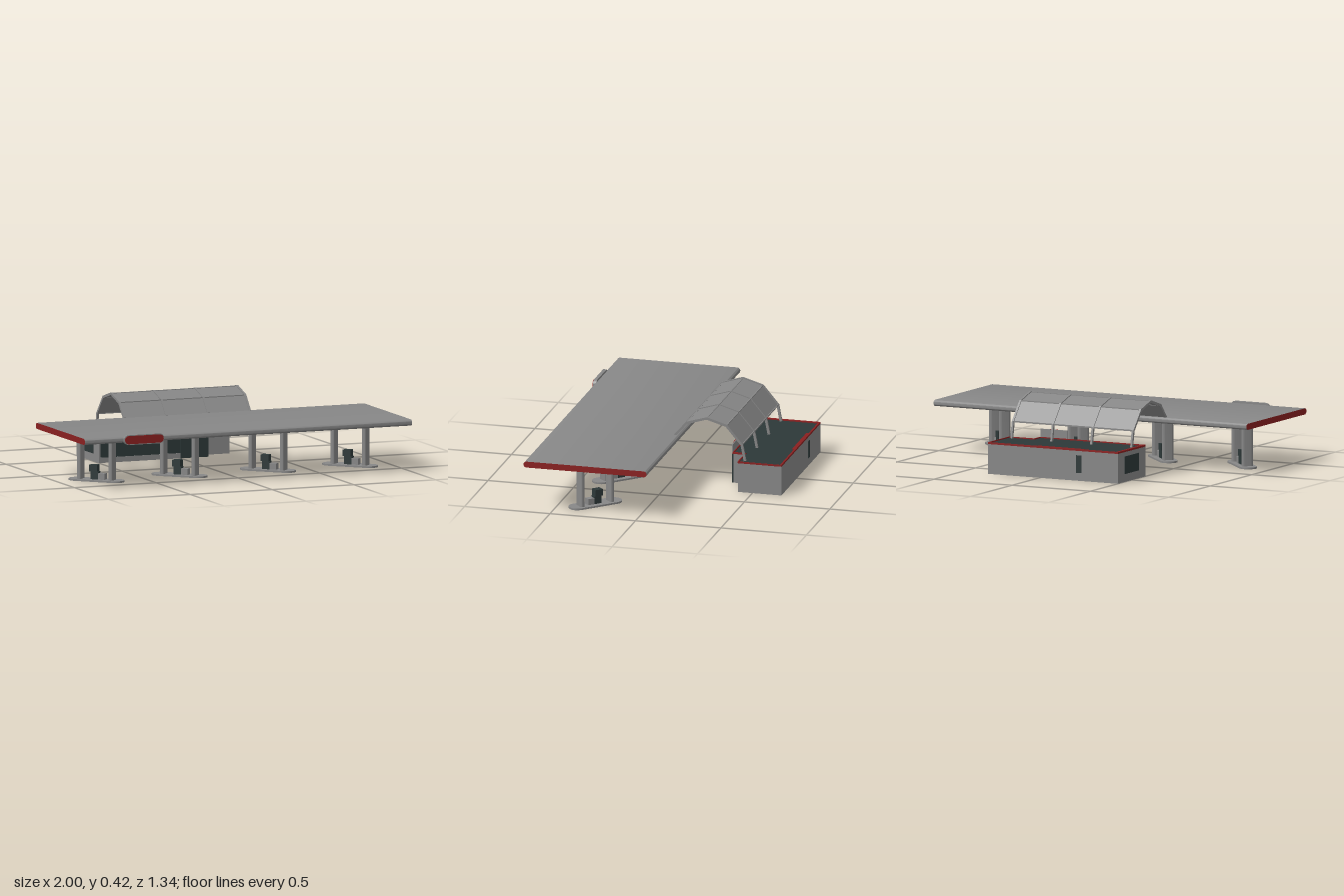
import * as THREE from 'three';
import { toCreasedNormals } from 'three/addons/utils/BufferGeometryUtils.js';

const mat = (name, color) => new THREE.MeshStandardMaterial({ name, color });

export function createModel() {
  const root = new THREE.Group();
  root.name = 'fuelStation';
  const grey = mat('concreteGrey', 0x878787);
  const red = mat('trimRed', 0x8a2020);
  const dark = mat('darkGlass', 0x2d3838);

  const add = (parent, name, geometry, material) => {
    const mesh = new THREE.Mesh(geometry, material);
    mesh.name = name;
    parent.add(mesh);
    return mesh;
  };
  // Box given by its limits on each axis
  const box = (parent, name, material, x0, x1, y0, y1, z0, z1) => {
    const m = add(parent, name, new THREE.BoxGeometry(x1 - x0, y1 - y0, z1 - z0), material);
    m.position.set((x0 + x1) / 2, (y0 + y1) / 2, (z0 + z1) / 2);
    return m;
  };
  // Rounded bar: stadium outline in x/y, extruded along z and centred
  const stadium = (length, width, depth, segments) => {
    const r = width / 2, a = length / 2 - r;
    const s = new THREE.Shape();
    s.moveTo(-a, -r);
    s.lineTo(a, -r);
    s.absarc(a, 0, r, -Math.PI / 2, Math.PI / 2, false);
    s.lineTo(-a, r);
    s.absarc(-a, 0, r, Math.PI / 2, Math.PI * 1.5, false);
    const g = new THREE.ExtrudeGeometry(s, { depth, bevelEnabled: false, curveSegments: segments });
    g.translate(0, 0, -depth / 2);
    return toCreasedNormals(g, 0.7);
  };

  // Main canopy with red end caps
  const canopy = add(root, 'canopy', stadium(0.72, 0.035, 2, 10), [red, grey]);
  canopy.rotation.y = Math.PI / 2;
  canopy.position.set(0, 0.279, 0.295);

  // Sign on the canopy's front edge
  const sign = add(root, 'signBody', stadium(0.245, 0.056, 0.02, 8), grey);
  sign.position.set(-0.642, 0.278, 0.656);
  const signFace = add(root, 'signFace', stadium(0.235, 0.046, 0.004, 8), red);
  signFace.position.set(-0.642, 0.278, 0.668);

  // Pump islands, set diagonally
  for (const x of [-0.78, -0.272, 0.268, 0.77]) {
    const island = new THREE.Group();
    island.name = 'pumpIsland';
    island.position.set(x, 0, 0.298);
    island.rotation.y = -Math.PI / 4;
    root.add(island);
    const base = add(island, 'islandBase', stadium(0.333, 0.1, 0.01, 4), grey);
    base.rotation.x = -Math.PI / 2;
    base.position.y = 0.005;
    for (const side of [-1, 1]) {
      const column = add(island, 'column', stadium(0.067, 0.027, 0.26, 8), grey);
      column.rotation.set(-Math.PI / 2, 0, Math.PI / 2);
      column.position.set(side * 0.096, 0.138, 0);
    }
    box(island, 'pumpLower', dark, -0.03, 0.015, 0.01, 0.055, -0.018, 0.018);
    box(island, 'pumpHead', dark, -0.037, 0.01, 0.055, 0.092, -0.021, 0.021);
    box(island, 'pumpStep', grey, 0.015, 0.055, 0.01, 0.045, -0.018, 0.018);
  }

  // Shop walls, open underneath
  const shop = new THREE.Group();
  shop.name = 'shop';
  root.add(shop);
  const t = 0.01, top = 0.17;
  box(shop, 'backWall', grey, -0.5, 0.33, 0, top, -0.67, -0.67 + t);
  box(shop, 'leftEndWall', grey, -0.5, -0.5 + t, 0, top, -0.66, -0.34);
  box(shop, 'rightEndWall', grey, 0.33 - t, 0.33, 0, top, -0.66, -0.415);
  box(shop, 'recessWall', grey, 0.17, 0.33 - t, 0, top, -0.425, -0.415);
  box(shop, 'entranceSideWall', grey, 0.17 - t, 0.17, 0, top, -0.425, -0.345);
  box(shop, 'plinth', grey, -0.49, 0, 0, 0.03, -0.35, -0.34);
  box(shop, 'frontGlass', dark, -0.49, 0, 0.03, top, -0.35, -0.342);
  box(shop, 'entranceDoors', dark, 0, 0.17, 0, top, -0.345, -0.338);
  box(shop, 'endWindow', dark, -0.503, -0.5, 0.045, 0.145, -0.59, -0.42);
  box(shop, 'backDoor', dark, -0.268, -0.234, 0.045, 0.145, -0.673, -0.67);

  // Dark roof slabs and red fascia
  box(shop, 'mainRoof', dark, -0.49, 0.165, 0.16, 0.174, -0.662, -0.345);
  box(shop, 'sideRoof', dark, 0.165, 0.327, 0.16, 0.174, -0.662, -0.418);
  box(shop, 'fasciaLeft', red, -0.501, -0.485, top, 0.18, -0.671, -0.339);
  box(shop, 'fasciaBack', red, -0.485, 0.33, top, 0.18, -0.671, -0.661);
  box(shop, 'fasciaBackCentre', red, -0.28, 0.02, 0.172, 0.18, -0.661, -0.648);
  box(shop, 'fasciaFront', red, -0.485, 0.17, top, 0.18, -0.347, -0.339);
  box(shop, 'fasciaStep', red, 0.165, 0.171, top, 0.18, -0.42, -0.347);
  box(shop, 'fasciaRecess', red, 0.171, 0.331, top, 0.18, -0.42, -0.414);
  box(shop, 'fasciaRight', red, 0.327, 0.331, top, 0.18, -0.661, -0.42);

  // Raised panel above the entrance
  box(shop, 'entrancePanel', grey, 0, 0.17, 0.18, 0.226, -0.342, -0.336);
  const badge = new THREE.Shape([[0.03, 0.226], [0.03, 0.19], [0.045, 0.173], [0.12, 0.173],
    [0.135, 0.19], [0.135, 0.226]].map(([x, y]) => new THREE.Vector2(x, y)));
  const badgeMesh = add(shop, 'entranceBadge',
    new THREE.ExtrudeGeometry(badge, { depth: 0.004, bevelEnabled: false }), red);
  badgeMesh.position.z = -0.336;

  // Faceted vault between canopy and shop: [z, y] along the arch
  const arch = [[-0.04, 0.295], [-0.108, 0.374], [-0.225, 0.41], [-0.34, 0.376], [-0.43, 0.27], [-0.448, 0.178]];
  const vault = new THREE.Group();
  vault.name = 'vault';
  root.add(vault);
  const span = (name, [z0, y0], [z1, y1], x, width, thick, extra) => {
    const dz = z1 - z0, dy = y1 - y0;
    const m = add(vault, name, new THREE.BoxGeometry(width, thick, Math.hypot(dz, dy) + extra), grey);
    m.rotation.x = -Math.atan2(dy, dz);
    m.position.set(x, (y0 + y1) / 2, (z0 + z1) / 2);
  };
  for (let i = 0; i < arch.length - 1; i++) {
    for (const x of [-0.47, -0.214, 0.041, 0.296]) span('rib', arch[i], arch[i + 1], x, 0.012, 0.014, 0.004);
    if (i < 4) span('vaultPanel', arch[i], arch[i + 1], -0.087, 0.766, 0.004, 0);
    if (i > 0 && i < 5) {
      const [z, y] = arch[i];
      box(vault, 'purlin', grey, -0.47, 0.296, y - 0.004, y + 0.004, z - 0.004, z + 0.004);
    }
  }
  return root;
}
